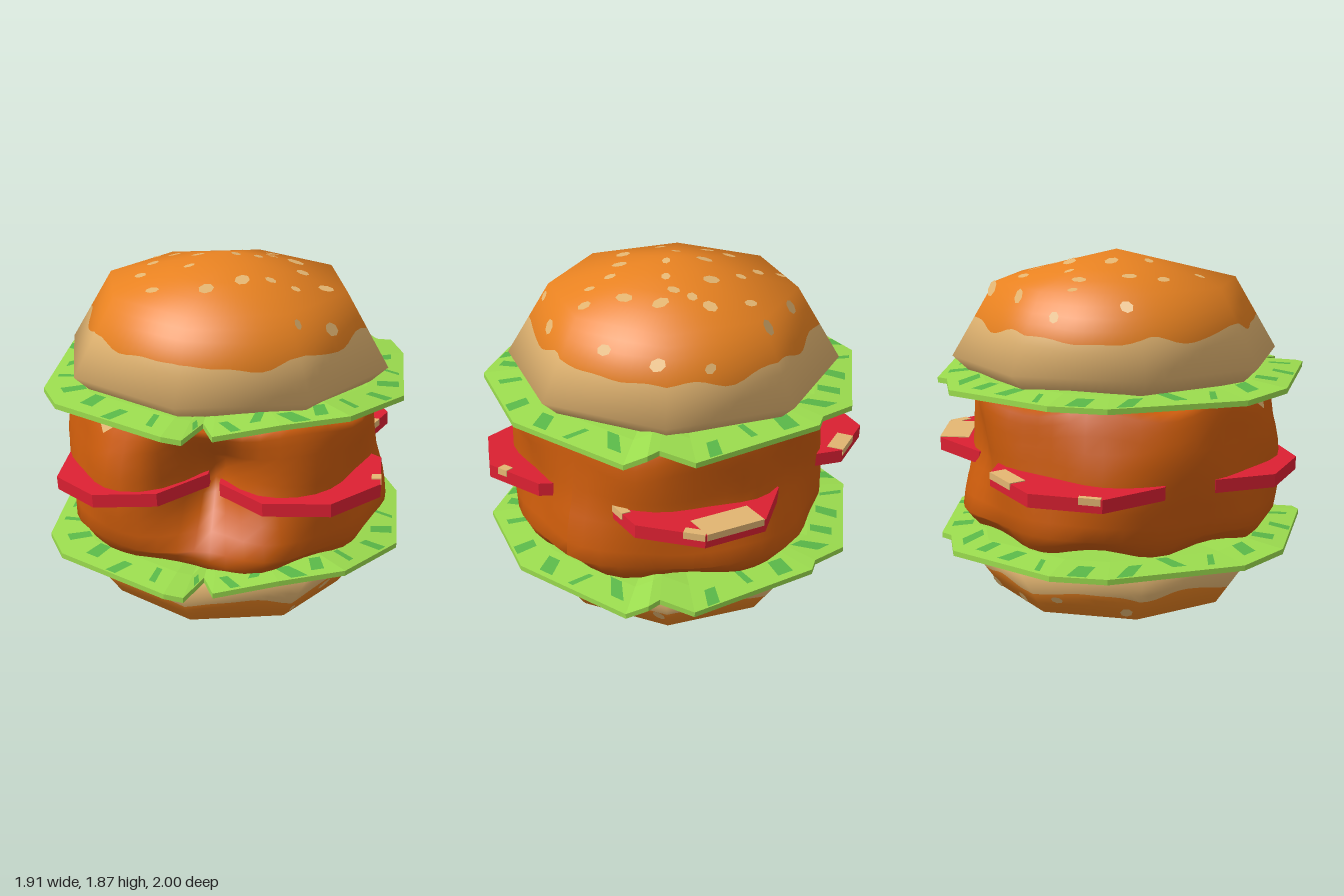
import * as THREE from 'three';

const mat = (name, color) => Object.assign(new THREE.MeshStandardMaterial({ color }), { name });
const crust = mat('crust orange', 0xea8321);
const cream = mat('bread cream', 0xe4b672);
const meat = mat('patty brown', 0xcb5b0b);
const leaf = mat('lettuce green', 0x9bdc4e);
const vein = mat('dark lettuce green', 0x5ab848);
const red = mat('tomato red', 0xdc2032);
vein.side = THREE.DoubleSide;

const { sin, cos, PI } = Math;
const lerp = THREE.MathUtils.lerp;

// Grid surface: fn(i, j) gives [x, y, z] or [x, y, z, nx, ny, nz]; outward when j climbs
function grid(nu, nv, fn, flip = false) {
  const pos = [], nor = [], idx = [];
  for (let j = 0; j <= nv; j++) for (let i = 0; i <= nu; i++) {
    const p = fn(i, j);
    pos.push(...p.slice(0, 3));
    nor.push(...p.slice(3));
    if (i < nu && j < nv) {
      const a = j * (nu + 1) + i, b = a + 1, c = a + nu + 1, d = c + 1;
      idx.push(...(flip ? [a, b, c, b, d, c] : [a, c, b, b, c, d]));
    }
  }
  const g = new THREE.BufferGeometry();
  g.setAttribute('position', new THREE.Float32BufferAttribute(pos, 3));
  if (nor.length) g.setAttribute('normal', new THREE.Float32BufferAttribute(nor, 3));
  g.setIndex(idx);
  if (!nor.length) g.computeVertexNormals();
  return g;
}

function flat(g) {
  const f = g.toNonIndexed();
  f.computeVertexNormals();
  return f;
}

function add(parent, name, geometry, material) {
  const m = new THREE.Mesh(geometry, material);
  m.name = name;
  parent.add(m);
  return m;
}

// ---- Buns: eight-sided, profile rows are [radius, y, normal out, normal up]
const TURN = 0.185, BUN_Z = -0.025;
const SEEDS = [
  [0.03, -0.53], [0.21, -0.41], [-0.43, -0.41], [-0.2, -0.62], [-0.32, -0.34], [-0.16, -0.34], [0.02, -0.28],
  [0.21, -0.3], [0.23, -0.2], [0.35, -0.21], [0.16, -0.1], [-0.4, -0.1], [-0.16, -0.11], [0.05, -0.02],
  [0.4, -0.02], [-0.44, 0.07], [-0.18, 0.09], [0.11, 0.24], [0.25, 0.19], [-0.34, 0.31], [-0.06, 0.35],
  [0.38, 0.22], [0.53, 0.13], [0.61, -0.39], [0.41, 0.5], [0.57, 0.33], [0.66, -0.1], [0.43, -0.57],
  [0.1, -0.68], [-0.47, -0.52], [-0.64, -0.2]];

function bun(name, rows, borderAt, flip) {
  const g = new THREE.Group();
  g.name = name;
  const N = 96;
  const point = (i, v) => {
    const u = i / N * 8, k = Math.floor(u), f = u - k, n = Math.min(Math.floor(v), rows.length - 2);
    const [r, y, out, up] = rows[n].map((q, c) => lerp(q, rows[n + 1][c], v - n));
    const a = TURN + k * PI / 4, b = a + PI / 4;
    const cx = lerp(cos(a), cos(b), f), cz = lerp(sin(a), sin(b), f);
    const nrm = new THREE.Vector3(cx * out, up, cz * out).normalize();
    return [r * cx, y, r * cz + BUN_Z, nrm.x, nrm.y, nrm.z];
  };
  // gently wavy border between crust and bread
  const border = i => {
    const a = i / N * 2 * PI;
    return 2 + borderAt + 0.05 * cos(a * 8) + 0.03 * sin(a * 3 + 1) + 0.025 * sin(a * 11) + 0.015 * sin(a * 17);
  };
  add(g, 'cutFace', grid(N, 2, (i, j) => point(i, j), flip), cream);
  add(g, 'breadSide', grid(N, 4, (i, j) => point(i, lerp(2, border(i), j / 4)), flip), cream);
  add(g, 'crustSide', grid(N, 4, (i, j) => point(i, lerp(border(i), 3, j / 4)), flip), crust);
  add(g, 'crustCap', grid(N, 4, (i, j) => point(i, 3 + j / 4), flip), crust);

  // seeds lie flush on the faceted crust
  const height = (x, z) => {
    let d = 0;
    for (let k = 0; k < 8; k++) {
      const a = TURN + (k + 0.5) * PI / 4;
      d = Math.max(d, (x * cos(a) + (z - BUN_Z) * sin(a)) / cos(PI / 8));
    }
    const n = d > rows[3][0] ? 2 : 3;
    return lerp(rows[n][1], rows[n + 1][1], (rows[n][0] - d) / (rows[n][0] - rows[n + 1][0]));
  };
  const s = flip ? -1 : 1, e = 0.01;
  SEEDS.forEach(([x, z], i) => {
    const n = new THREE.Vector3((height(x - e, z) - height(x + e, z)) / (2 * e), 1,
      (height(x, z - e) - height(x, z + e)) / (2 * e)).multiplyScalar(s).normalize();
    const seed = add(g, 'seed', new THREE.CircleGeometry(0.03 + 0.008 * sin(i * 2.3), 7), cream);
    seed.position.set(x, height(x, z), z).addScaledVector(n, 0.004);
    seed.quaternion.setFromUnitVectors(new THREE.Vector3(0, 0, 1), n);
    seed.rotateZ(i);
    seed.scale.x = 1.3;
  });
  return g;
}

// ---- Lettuce: outline corners are [x, z, height offset]
const LEAF = [[0.95, 0.26, -0.01], [0.69, 0.7, 0.04], [0.36, 0.83, 0.03], [0.04, 0.94, 0], [-0.02, 0.8, 0.01],
  [-0.1, 1, 0], [-0.2, 0.99, 0.01], [-0.8, 0.6, 0], [-0.92, 0.33, -0.02], [-0.92, -0.4, -0.01], [-0.8, -0.66, 0],
  [-0.22, -1, -0.01], [0, -0.96, 0.005], [0.08, -0.99, 0], [0.75, -0.72, -0.01], [0.8, -0.54, 0.02],
  [0.88, -0.53, 0.02], [0.95, -0.44, -0.025]];

function lettuce(name) {
  const g = new THREE.Group(), n = LEAF.length;
  g.name = name;
  const point = (u, f, dy) => {
    const k = Math.floor(u), a = LEAF[k % n], b = LEAF[(k + 1) % n];
    const [x, z, y] = a.map((q, c) => lerp(q, b[c], u - k));
    return [x * f, y * f + dy + 0.022 * Math.min(1, (1 - f) / 0.2), z * f];
  };
  const rim = [[0, -0.015], [0.8, -0.015], [1, -0.015], [1, 0.013], [0.8, 0.013], [0, 0.013]];
  add(g, 'leaf', flat(grid(n, 5, (i, j) => point(i, ...rim[j]))), leaf);
  // dark streaks near the rim, on both faces
  LEAF.forEach((a, k) => {
    const b = LEAF[(k + 1) % n], len = Math.hypot(a[0] - b[0], a[1] - b[1]);
    const count = len > 0.2 ? Math.round(len / 0.22) : 0;
    for (let m = 0; m < count; m++) for (const dy of [-0.018, 0.016]) {
      const u = k + (m + 0.5) / count, f = 0.9 + 0.035 * sin(k * 5 + m * 2.4 + dy * 60);
      const w = (0.034 + 0.016 * sin(k * 3 + m * 4)) / len, skew = 0.07 / len * sin(k + m * 3);
      const quad = (i, j) => point(u + (i - 0.5) * 2 * w + (j - 0.5) * skew, f + (j - 0.5) * 0.12, dy);
      add(g, 'leafStreak', grid(1, 1, quad), vein);
    }
  });
  return g;
}

// ---- Patty: lumpy loops with a fold at the front and a bulge on one side
const RINGS = [[0, 0.385], [0.55, 0.39], [0.78, 0.41], [0.855, 0.5], [0.84, 0.66], [0.82, 0.8], [0.82, 0.95],
  [0.82, 1.08], [0.8, 1.165], [0.6, 1.15], [0, 1.13]];
function pattyPoint(a, v, grow = 1) {
  const k = Math.min(Math.floor(v), RINGS.length - 2);
  let [r, y] = RINGS[k].map((q, c) => lerp(q, RINGS[k + 1][c], v - k));
  const front = Math.atan2(sin(a - PI / 2), cos(a - PI / 2)), back = Math.atan2(sin(a + PI / 2), cos(a + PI / 2));
  const waist = Math.exp(-(((y - 0.82) / 0.28) ** 2));
  const fold = 0.36 * Math.exp(-((front / 0.28) ** 2)) + 0.08 * Math.exp(-((back / 0.3) ** 2));
  const lumps = 0.025 * sin(a * 5 + y * 4) + 0.015 * sin(a * 9 - y * 7);
  const edge = Math.min(1, r / 0.7);
  const bulge = Math.max(0, -cos(a)) * 0.09 * (waist - 0.6);
  r = (r * (1 + lumps) + (bulge - fold * waist) * edge) * grow;
  y += edge * 0.025 * sin(a * 7 + 1) * (y > 1 || y < 0.5 ? 1 : 0);
  return [r * cos(a), y, r * sin(a)];
}

// ---- Tomato slices; stains are [side number, shift along the side, width, depth]
const SLICES = [
  { x: 0.44, z: 0.37, r: 0.445, turn: PI / 8, tilt: 0.045, stains: [[1, -0.08, 0.06, 0.05]] },
  { x: 0.42, z: -0.45, r: 0.46, turn: 0, tilt: 0.045,
    stains: [[3, 0, 0.33, 0.16], [2, 0.12, 0.11, 0.05], [1, 0, 0.1, 0.05]] },
  { x: -0.485, z: -0.373, r: 0.48, turn: -0.14, tilt: 0.07, stains: [[4, -0.08, 0.2, 0.09], [5, 0.12, 0.11, 0.03]] },
  { x: -0.425, z: 0.37, r: 0.43, turn: PI / 8, tilt: 0.07, stains: [] }];

function tomatoSlice({ x, z, r, turn, tilt, stains }) {
  const slice = new THREE.Group();
  slice.name = 'tomatoSlice';
  add(slice, 'tomato', flat(new THREE.CylinderGeometry(r, r, 0.07, 8)), red);
  for (const [side, shift, width, depth] of stains) {
    const arm = new THREE.Group();
    arm.name = 'stain';
    arm.rotation.y = (side + 0.5) * PI / 4;
    const apothem = r * cos(PI / 8);
    add(arm, 'stainTop', new THREE.BoxGeometry(width, 0.006, depth), cream)
      .position.set(shift, 0.036, apothem + 0.004 - depth / 2);
    add(arm, 'stainSide', new THREE.BoxGeometry(width, 0.035, 0.006), cream)
      .position.set(shift, 0.0205, apothem + 0.001);
    slice.add(arm);
  }
  slice.position.set(x, 0.783, z);
  slice.rotation.set(0, turn, tilt, 'ZYX');
  return slice;
}

export function createModel() {
  const model = new THREE.Group();
  model.name = 'hamburger';

  model.add(bun('topBun', [[0, 1.235, 0, -1], [0.79, 1.235, 0.5, -1], [0.88, 1.32, 1, -0.25],
    [0.65, 1.71, 0.75, 0.8], [0, 1.87, 0, 1]], 0.45, false));
  model.add(bun('bottomBun', [[0, 0.345, 0, 1], [0.79, 0.345, 0.4, 1], [0.86, 0.325, 1, 0.25],
    [0.65, 0.03, 0.75, -0.8], [0, 0, 0, -1]], 0.55, true));

  for (const [name, y] of [['topLettuce', 1.212], ['bottomLettuce', 0.365]]) {
    const l = lettuce(name);
    l.position.y = y;
    model.add(l);
  }

  const S = 56;
  add(model, 'patty', grid(S, 20, (i, j) => pattyPoint(i / S * 2 * PI, j / 2)), meat);
  add(model, 'pattyCrumb', grid(2, 2, (i, j) =>
    pattyPoint(2.33 + (i - 1) * 0.06 * j, 7.2 + j * 0.4, 1.012)), cream);

  for (const s of SLICES) model.add(tomatoSlice(s));
  return model;
}
